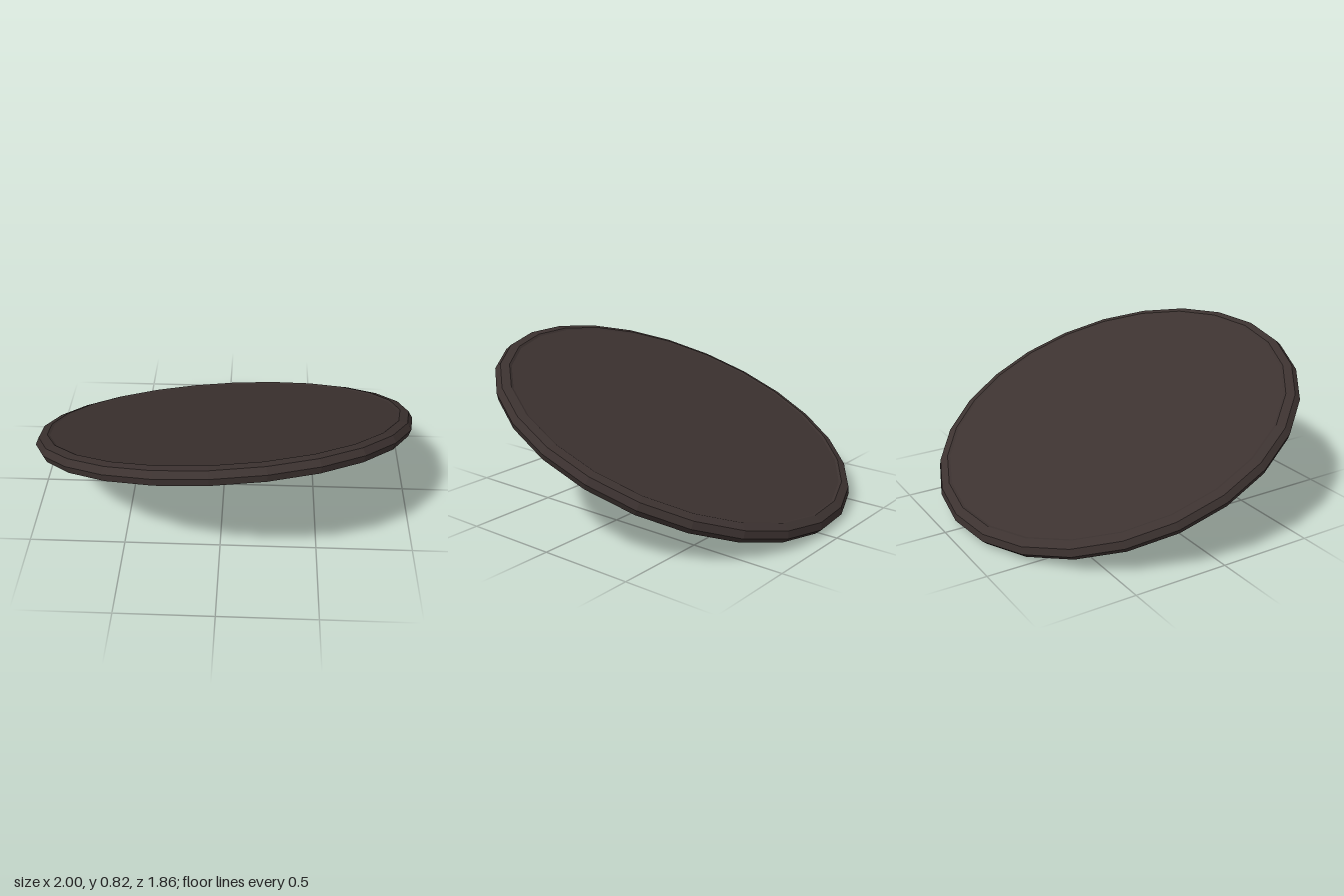
import * as THREE from 'three';

// Sweeps a chamfered flat-bar section along a path of [z, y, halfWidth, halfThickness]
function sweepBar(path) {
  const section = [[-1, -0.35], [-0.6, -1], [0.6, -1], [1, -0.35], [1, 0.35], [0.6, 1], [-0.6, 1], [-1, 0.35]];
  const n = section.length;
  const positions = [];
  const index = [];
  path.forEach(([z, y, w, t], i) => {
    const a = path[Math.max(i - 1, 0)];
    const b = path[Math.min(i + 1, path.length - 1)];
    const len = Math.hypot(b[0] - a[0], b[1] - a[1]);
    const nz = -(b[1] - a[1]) / len;
    const ny = (b[0] - a[0]) / len;
    for (const [sx, st] of section) positions.push(sx * w, y + ny * st * t, z + nz * st * t);
  });
  for (let i = 0; i < path.length - 1; i++) {
    for (let j = 0; j < n; j++) {
      const k = (j + 1) % n;
      const p = i * n + j, q = i * n + k;
      index.push(p, q, q + n, p, q + n, p + n);
    }
  }
  // End caps
  const last = (path.length - 1) * n;
  for (let j = 1; j < n - 1; j++) {
    index.push(0, j + 1, j);
    index.push(last, last + j, last + j + 1);
  }
  const geometry = new THREE.BufferGeometry();
  geometry.setAttribute('position', new THREE.Float32BufferAttribute(positions, 3));
  geometry.setIndex(index);
  geometry.computeVertexNormals();
  return geometry;
}

export function createModel() {
  const model = new THREE.Group();
  model.name = 'roundShield';
  const darkWood = new THREE.MeshStandardMaterial({ color: 0x3c3230, flatShading: true });
  darkWood.name = 'darkBrown';

  const add = (name, geometry) => {
    const mesh = new THREE.Mesh(geometry, darkWood);
    mesh.name = name;
    model.add(mesh);
    return mesh;
  };

  // Bevelled rim ring, standing slightly proud of the plate
  const rimProfile = [
    [0.92, -0.028], [0.94, -0.045], [0.985, -0.035], [1.003, 0],
    [0.985, 0.035], [0.94, 0.046], [0.92, 0.037], [0.92, -0.028],
  ].map(([r, y]) => new THREE.Vector2(r, y));
  add('rim', new THREE.LatheGeometry(rimProfile, 24));

  // Flat plate set into the rim
  const plate = add('plate', new THREE.CylinderGeometry(0.945, 0.945, 0.07, 16));
  plate.position.y = 0.005;

  // Arched grip under the plate, with thin tapered feet
  const half = [
    [0.435, -0.042, 0.026, 0.011],
    [0.305, -0.047, 0.04, 0.016],
    [0.27, -0.075, 0.043, 0.023],
    [0.245, -0.14, 0.043, 0.025],
    [0.2, -0.21, 0.043, 0.027],
    [0.08, -0.268, 0.043, 0.03],
  ];
  const mirrored = half.map(([z, ...rest]) => [-z, ...rest]);
  add('grip', sweepBar([...mirrored, ...half.slice().reverse()]));

  // Tilt the whole disc: front edge raised, left side slightly raised
  const up = new THREE.Vector3(-0.08, 1, -0.41).normalize();
  const front = new THREE.Vector3(0, 0, 1).addScaledVector(up, -up.z).normalize();
  const side = new THREE.Vector3().crossVectors(up, front);
  model.quaternion.setFromRotationMatrix(new THREE.Matrix4().makeBasis(side, up, front));
  model.position.y = 0.415;

  const root = new THREE.Group();
  root.name = 'tiltedShield';
  root.add(model);
  return root;
}
